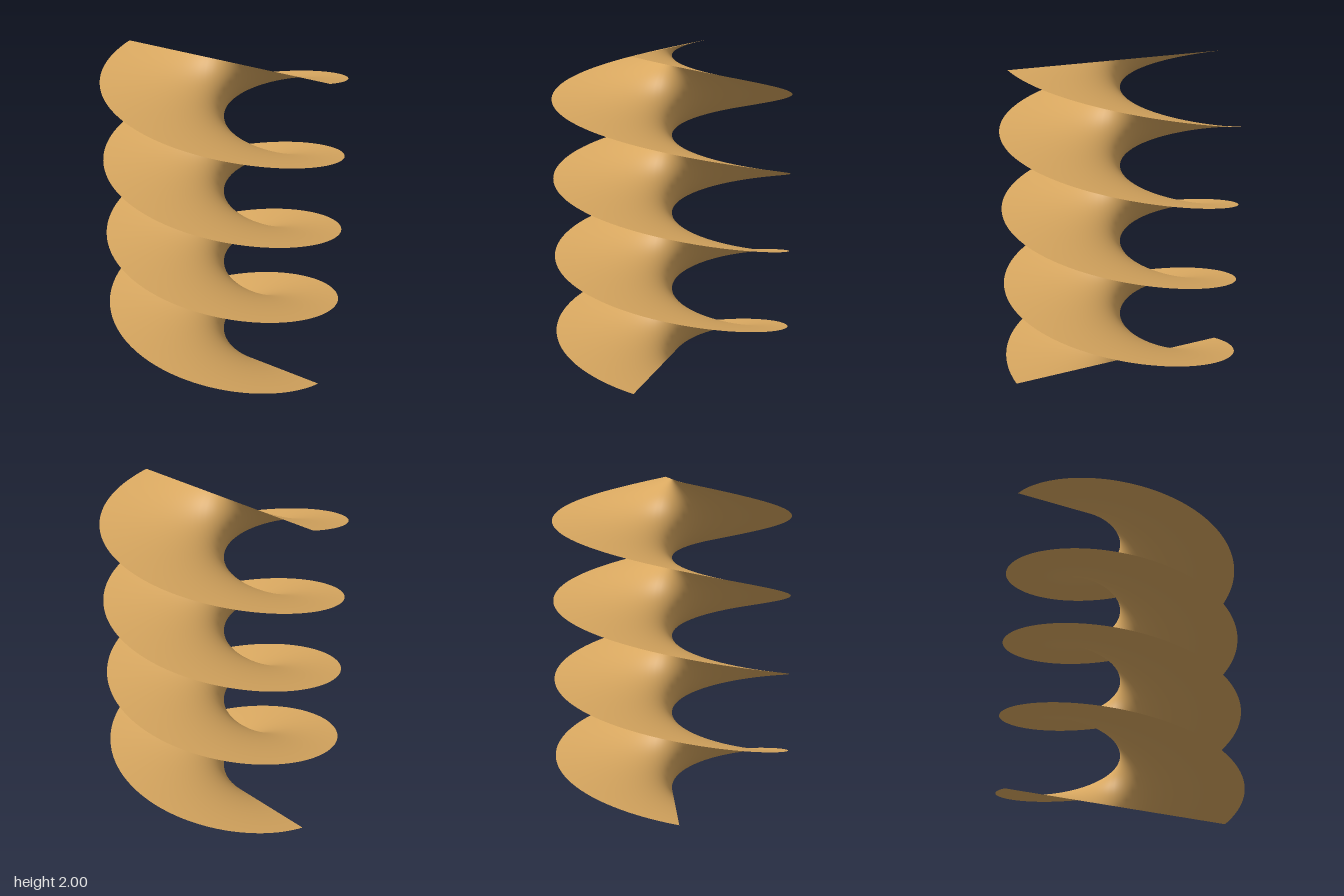
import * as THREE from 'three';

const RADIUS = 0.75;
const HEIGHT = 2;
const TURNS = 2;

// Flat strip whose cross line turns about the y axis as it climbs
function helicoidGeometry() {
  const geometry = new THREE.PlaneGeometry(2 * RADIUS, HEIGHT, 40, 256);
  const position = geometry.attributes.position;
  for (let i = 0; i < position.count; i++) {
    const r = position.getX(i);
    const y = position.getY(i) + HEIGHT / 2;
    const angle = (y / HEIGHT) * TURNS * Math.PI * 2;
    position.setXYZ(i, r * Math.cos(angle), y, r * Math.sin(angle));
  }
  geometry.computeVertexNormals();
  return geometry;
}

export function createModel() {
  const ochre = new THREE.MeshStandardMaterial({ color: 0xd9a860, side: THREE.DoubleSide });
  ochre.name = 'ochre';

  // Twisted double-bladed surface, two full turns
  const surface = new THREE.Mesh(helicoidGeometry(), ochre);
  surface.name = 'helicoidSurface';

  const model = new THREE.Group();
  model.name = 'helicoid';
  model.add(surface);
  return model;
}
